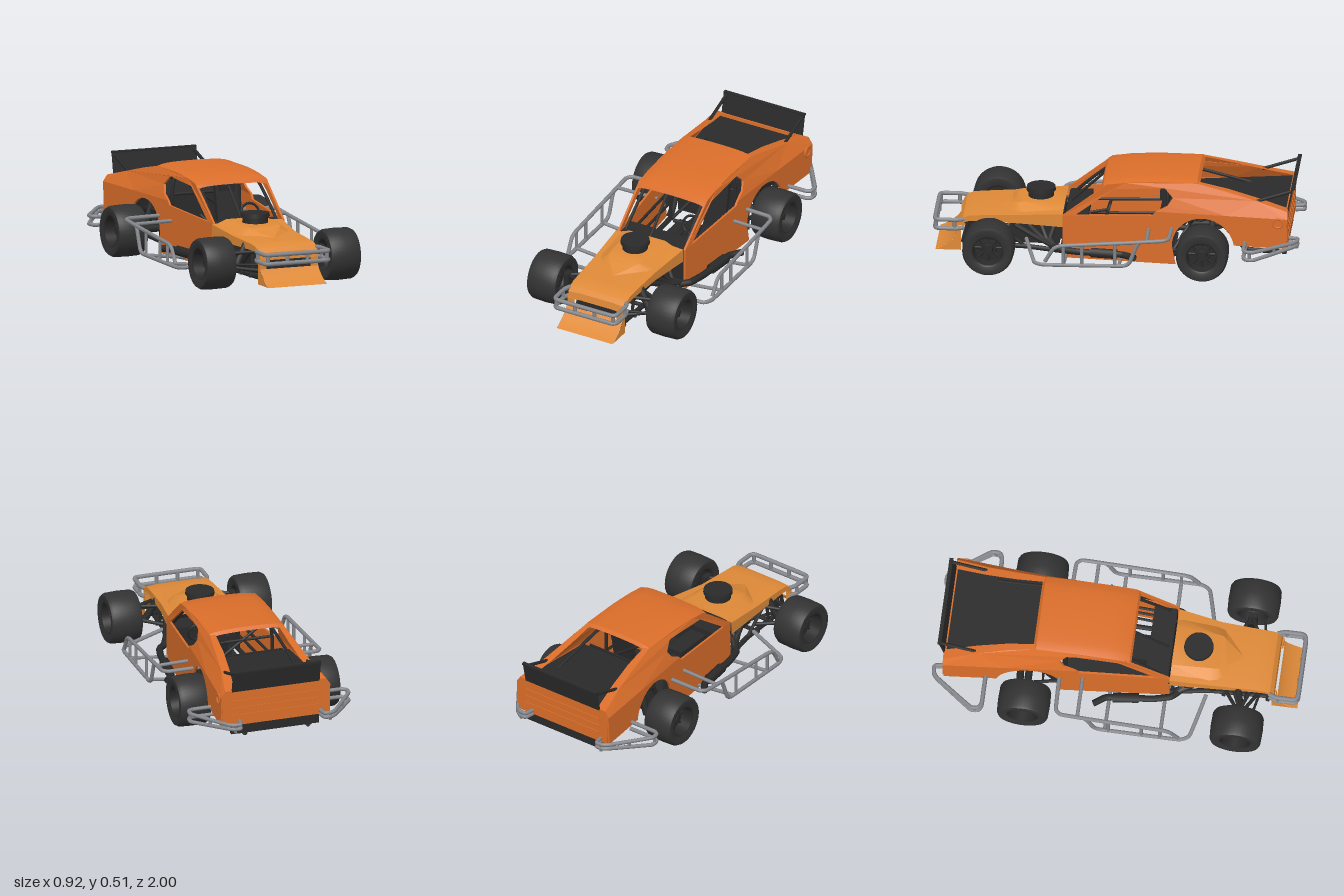
import * as THREE from 'three';
import { toCreasedNormals } from 'three/addons/utils/BufferGeometryUtils.js';

const mat = (name, color, side = THREE.FrontSide) => {
  const m = new THREE.MeshStandardMaterial({ color, side });
  m.name = name;
  return m;
};

export function createModel() {
  const model = new THREE.Group();
  model.name = 'modifiedRaceCar';
  const orange = mat('bodyOrange', 0xdb6e2a, THREE.DoubleSide);
  const amber = mat('hoodAmber', 0xdf8a38, THREE.DoubleSide);
  const black = mat('chassisBlack', 0x2a2a2a, THREE.DoubleSide);
  const rubber = mat('tyreRubber', 0x333333);
  const rimMat = mat('rimBlack', 0x2a2a2a);
  const steel = mat('bumperSteel', 0x85878c);

  // ---- helpers ----
  const add = (parent, name, geo, m) => {
    const mesh = new THREE.Mesh(geo, m);
    mesh.name = name;
    parent.add(mesh);
    return mesh;
  };
  const group = (parent, name, x = 0) => {
    const g = new THREE.Group();
    g.name = name;
    g.position.x = x;
    parent.add(g);
    return g;
  };
  const box = (p, name, m, w, h, d, x, y, z) => {
    const b = add(p, name, new THREE.BoxGeometry(w, h, d), m);
    b.position.set(x, y, z);
    return b;
  };
  const V = (p) => new THREE.Vector3(...p);
  const bar = (p, name, m, r, a, b) =>
    add(p, name, new THREE.TubeGeometry(new THREE.LineCurve3(V(a), V(b)), 1, r, 8), m);
  const tube = (p, name, m, r, pts) =>
    add(p, name, new THREE.TubeGeometry(
      new THREE.CatmullRomCurve3(pts.map(V), false, 'catmullrom', 0.15), pts.length * 10, r, 8), m);
  const outline = (pts) => new THREE.Shape(pts.map((q) => new THREE.Vector2(...q)));
  const loft = (rows) => {
    const n = rows[0].length, index = [];
    for (let i = 0; i < rows.length - 1; i++) for (let j = 0; j < n - 1; j++) {
      const a = i * n + j, b = a + n;
      index.push(a, b, a + 1, b, b + 1, a + 1);
    }
    const g = new THREE.BufferGeometry();
    g.setAttribute('position', new THREE.Float32BufferAttribute(rows.flat(2), 3));
    g.setIndex(index);
    return toCreasedNormals(g, 0.5);
  };
  const mirror = (left, name) => {
    const right = left.clone();
    right.name = name;
    right.scale.x = -1;
    left.parent.add(right);
  };

  // ---- body shell, set slightly toward the left ----
  const body = group(model, 'body', 0.025);
  const waist = (z) => 0.21 + 0.1 * (0.29 - z) / 1.2;
  const halfWidth = (z, y) =>
    THREE.MathUtils.lerp(waist(z), 0.21, THREE.MathUtils.clamp((y - 0.34) / 0.15, 0, 1));
  const panel = (p, name, shape) => {
    const g = new THREE.ExtrudeGeometry(shape, { depth: 0.012, bevelEnabled: false, curveSegments: 20 });
    const a = g.attributes.position;
    for (let i = 0; i < a.count; i++) {
      const z = a.getX(i), y = a.getY(i), t = a.getZ(i);
      a.setXYZ(i, halfWidth(z, y) - t, y, z);
    }
    g.computeVertexNormals();
    add(p, name, g, orange);
  };
  const side = group(body, 'leftBodySide');
  const lower = new THREE.Shape();
  lower.moveTo(0.29, 0.04);
  [[0.29, 0.285], [-0.2, 0.315], [-0.22, 0.34], [-0.935, 0.34], [-0.93, 0.17], [-0.645, 0.17]]
    .forEach((q) => lower.lineTo(...q));
  lower.absarc(-0.476, 0.145, 0.17, Math.PI - 0.15, 0, true);
  lower.lineTo(-0.325, 0.04);
  panel(side, 'lowerSidePanel', lower);
  const upper = [[0.29, 0.285], [0.05, 0.472], [-0.05, 0.486], [-0.2, 0.495], [-0.44, 0.493], [-0.6, 0.46],
    [-0.76, 0.42], [-0.935, 0.375], [-0.935, 0.34], [-0.6, 0.34], [-0.22, 0.34], [-0.28, 0.37], [-0.31, 0.415],
    [-0.265, 0.464], [0.01, 0.45], [0.225, 0.288]];
  panel(side, 'pillarAndSailPanel', outline(upper));
  // inward ledge along the sail top
  add(side, 'sailLedge', loft(upper.slice(4, 8).map(([z, y], i) =>
    [[halfWidth(z, y), y, z], [halfWidth(z, y) - 0.03 - 0.008 * i, y + 0.002, z]])), orange);
  mirror(side, 'rightBodySide');

  // crowned roof with front header and rear lip
  const roof = [[0.08, 0.46], [0.07, 0.478], [0.04, 0.49], [-0.05, 0.505], [-0.2, 0.514], [-0.44, 0.512],
    [-0.455, 0.495]];
  add(body, 'roof', loft(roof.map(([z, y]) => Array.from({ length: 17 }, (_, i) => {
    const s = i / 8 - 1;
    return [s * 0.211, y - 0.008 * s * s - 0.01 * s ** 8, z];
  }))), orange);

  // tail panel with pressed ribs, filler ring on the left
  const tail = add(body, 'tailPanel', new THREE.ExtrudeGeometry(
    outline([[-0.3, 0.17], [0.3, 0.17], [0.308, 0.34], [0.287, 0.375], [-0.287, 0.375], [-0.308, 0.34]]),
    { depth: 0.012, bevelEnabled: false }), orange);
  tail.position.z = -0.937;
  for (let i = 0; i < 3; i++) box(body, 'tailRib', orange, 0.5, 0.014, 0.006, 0, 0.225 + i * 0.042, -0.938);
  const ring = add(body, 'fillerRing', new THREE.TorusGeometry(0.026, 0.006, 8, 24), orange);
  ring.rotation.y = Math.PI / 2;
  ring.position.set(waist(-0.885), 0.315, -0.885);

  // rear deck and spoiler
  add(body, 'rearDeck', loft([[-0.925, 0.355, 0.285], [-0.42, 0.335, 0.25]]
    .map(([z, y, w]) => [[-w, y, z], [w, y, z]])), black);
  const blade = box(body, 'spoilerBlade', black, 0.5, 0.13, 0.008, 0, 0.432, -0.948);
  blade.rotation.x = -0.2;
  box(body, 'spoilerLip', black, 0.5, 0.01, 0.02, 0, 0.491, -0.962);
  for (const x of [-0.235, 0.235]) bar(body, 'spoilerStrut', black, 0.009, [x, 0.41, -0.76], [x, 0.475, -0.955]);

  // ---- cockpit ----
  const cockpit = group(body, 'cockpit');
  box(cockpit, 'floorPan', black, 0.27, 0.012, 0.58, -0.025, 0.05, -0.02);
  box(cockpit, 'frontFirewall', black, 0.4, 0.21, 0.01, 0, 0.165, 0.275);
  box(cockpit, 'rearFirewall', black, 0.44, 0.28, 0.01, 0, 0.195, -0.4);
  box(cockpit, 'dashboard', black, 0.4, 0.03, 0.12, 0, 0.262, 0.215);
  box(cockpit, 'seatBase', black, 0.13, 0.05, 0.16, 0.11, 0.12, -0.13);
  const back = box(cockpit, 'seatBack', black, 0.13, 0.28, 0.03, 0.11, 0.26, -0.24);
  back.rotation.x = -0.2;
  box(cockpit, 'headrest', black, 0.09, 0.06, 0.05, 0.11, 0.395, -0.26);
  const wheelRing = add(cockpit, 'steeringWheel', new THREE.TorusGeometry(0.052, 0.007, 8, 24), black);
  wheelRing.position.set(0.115, 0.29, 0.05);
  wheelRing.rotation.x = -0.3;
  bar(cockpit, 'steeringColumn', black, 0.008, [0.115, 0.29, 0.05], [0.115, 0.25, 0.24]);
  bar(cockpit, 'windscreenBar', black, 0.008, [-0.025, 0.28, 0.26], [-0.025, 0.468, 0.06]);
  tube(cockpit, 'mainHoop', black, 0.01,
    [[-0.2, 0.06, -0.28], [-0.2, 0.36, -0.28], [-0.17, 0.47, -0.28], [0.17, 0.47, -0.28], [0.2, 0.36, -0.28], [0.2, 0.06, -0.28]]);
  bar(cockpit, 'hoopDiagonal', black, 0.008, [-0.17, 0.46, -0.28], [0.19, 0.2, -0.28]);
  bar(cockpit, 'hoopCrossbar', black, 0.008, [-0.2, 0.36, -0.28], [0.2, 0.36, -0.28]);
  for (const s of [-1, 1]) {
    tube(cockpit, 'cageLeg', black, 0.009,
      [[s * 0.185, 0.06, 0.25], [s * 0.185, 0.275, 0.24], [s * 0.175, 0.45, 0.03], [s * 0.17, 0.47, -0.28]]);
    bar(cockpit, 'rearStay', black, 0.009, [s * 0.17, 0.46, -0.29], [s * 0.21, 0.34, -0.7]);
    for (const y of [0.14, 0.22]) bar(cockpit, 'doorBar', black, 0.008, [s * 0.19, y, 0.25], [s * 0.22, y, -0.28]);
  }

  // ---- hood, scoop and nose ----
  const front = group(model, 'frontClip');
  const hood = [[0.29, 0.285, 0.208, 0.075], [0.53, 0.26, 0.185, 0.05], [0.74, 0.248, 0.176, 0.035],
    [0.8, 0.243, 0.175, 0.03], [0.835, 0.23, 0.175, 0.03], [0.855, 0.205, 0.175, 0.02], [0.86, 0.165, 0.175, 0.005]];
  add(front, 'hood', loft(hood.map(([z, y, w, d], i) => {
    const c = i ? 0.002 : 0.014;
    return [[-w, y - d], [-w, y], [-w * 0.6, y + 0.006], [w * 0.6, y + 0.006], [w, y], [w, y - d]]
      .map(([x, h]) => [x + c, h, z]);
  })), amber);
  const scoop = [[0.29, 0.175, 0.11, 0.282, 0.308], [0.5, 0.165, 0.1, 0.26, 0.304], [0.55, 0.15, 0.095, 0.258, 0.297],
    [0.58, 0.12, 0.07, 0.258, 0.284], [0.67, 0.02, 0.005, 0.25, 0.258]];
  add(front, 'hoodScoop', loft(scoop.map(([z, b, t, yb, yt]) =>
    [[-b, yb, z], [-t, yt, z], [t, yt, z], [b, yb, z]])), amber);
  for (const [r, y, h] of [[0.07, 0.325, 0.05], [0.08, 0.348, 0.02]]) {
    const c = add(front, 'airCleaner', new THREE.CylinderGeometry(r * 0.97, r, h, 32), black);
    c.position.set(0, y, 0.425);
  }
  // curved valance with side plates
  const lip = [[0.872, 0.125], [0.885, 0.105], [0.92, 0.075], [0.955, 0.053], [0.985, 0.04]];
  add(front, 'frontValance', loft(lip.map(([z, y]) => [[-0.172, y, z], [0.172, y, z]])), amber);
  const cheek = outline([[0.845, 0.04], ...lip.slice().reverse(), [0.862, 0.18], [0.845, 0.18]]);
  for (const x of [-0.173, 0.173]) {
    const m = add(front, 'valanceCheek', new THREE.ShapeGeometry(cheek), amber);
    m.rotation.y = -Math.PI / 2;
    m.position.x = x;
    box(front, 'grilleSurround', amber, 0.04, 0.06, 0.006, x * 0.88, 0.145, 0.865);
  }
  box(front, 'radiator', black, 0.27, 0.13, 0.03, 0, 0.155, 0.78);

  // tubular front bumper
  const bumper = group(model, 'frontBumper');
  for (const y of [0.171, 0.221]) tube(bumper, 'bumperTube', steel, 0.012,
    [[-0.175, y, 0.83], [-0.19, y, 0.87], [-0.19, y, 0.965], [-0.165, y, 0.987], [0.165, y, 0.987], [0.19, y, 0.965], [0.19, y, 0.87], [0.175, y, 0.83]]);
  for (const x of [-0.175, -0.06, 0.06, 0.175]) bar(bumper, 'bumperPost', steel, 0.011, [x, 0.17, 0.982], [x, 0.222, 0.982]);
  for (const x of [-0.19, 0.19]) bar(bumper, 'bumperPost', steel, 0.01, [x, 0.17, 0.88], [x, 0.222, 0.88]);

  // ---- engine and frame ----
  const chassis = group(model, 'chassis');
  box(chassis, 'engineBlock', black, 0.19, 0.16, 0.3, 0, 0.17, 0.44);
  box(chassis, 'oilPan', black, 0.13, 0.05, 0.24, 0, 0.075, 0.44);
  box(chassis, 'gearbox', black, 0.1, 0.1, 0.28, 0, 0.12, 0.17);
  bar(chassis, 'driveShaft', black, 0.016, [0, 0.13, 0.05], [0, 0.14, -0.47]);
  bar(chassis, 'rearAxle', black, 0.02, [-0.32, 0.145, -0.476], [0.32, 0.145, -0.476]);
  const diff = add(chassis, 'differential', new THREE.SphereGeometry(0.05, 16, 12), black);
  diff.position.set(0, 0.145, -0.476);
  box(chassis, 'fuelCell', black, 0.3, 0.16, 0.2, 0.02, 0.19, -0.75);
  box(chassis, 'rearBumperBar', black, 0.5, 0.05, 0.025, 0.025, 0.14, -0.915);
  box(chassis, 'rearSkidBar', black, 0.36, 0.02, 0.03, 0.025, 0.09, -0.84);
  for (const [z, y] of [[0.82, 0.07], [0.7, 0.065], [0.58, 0.062], [0.3, 0.055], [-0.29, 0.05], [-0.42, 0.24], [-0.58, 0.24]])
    bar(chassis, 'crossMember', black, 0.011, [-0.16, y, z], [0.16, y, z]);

  // ---- exhausts, sharing the body offset ----
  const exhaust = group(model, 'leftExhaust', 0.027);
  for (let i = 0; i < 4; i++) tube(exhaust, 'headerPipe', black, 0.014,
    [[0.08, 0.2, 0.33 + i * 0.075], [0.13, 0.19, 0.34 + i * 0.07], [0.17, 0.13, 0.36 + i * 0.02], [0.22, 0.1, 0.32]]);
  tube(exhaust, 'exhaustPipe', black, 0.019,
    [[0.2, 0.1, 0.35], [0.245, 0.1, 0.3], [0.27, 0.1, 0.2], [0.292, 0.1, -0.04], [0.338, 0.1, -0.11]]);
  bar(exhaust, 'muffler', black, 0.028, [0.275, 0.1, 0.13], [0.29, 0.1, -0.01]);
  mirror(exhaust, 'rightExhaust');

  // ---- running gear, built on the left and mirrored ----
  const left = group(model, 'leftRunningGear');
  tube(left, 'frameRail', black, 0.014,
    [[0.13, 0.065, 0.84], [0.14, 0.06, 0.5], [0.17, 0.05, 0.28], [0.19, 0.05, -0.3], [0.19, 0.24, -0.42], [0.19, 0.24, -0.58], [0.18, 0.1, -0.7], [0.18, 0.09, -0.88]]);
  tube(left, 'upperFrameRail', black, 0.011, [[0.13, 0.07, 0.84], [0.13, 0.2, 0.8], [0.14, 0.21, 0.55], [0.18, 0.22, 0.28]]);
  for (const [a, b] of [[[0.14, 0.06, 0.5], [0.135, 0.2, 0.68]], [[0.135, 0.065, 0.7], [0.135, 0.2, 0.68]],
    [[0.19, 0.09, -0.88], [0.19, 0.33, -0.7]], [[0.19, 0.24, -0.42], [0.2, 0.34, -0.6]],
    [[0.18, 0.05, -0.29], [0.03, 0.24, -0.42]], [[0.18, 0.24, -0.58], [0.02, 0.1, -0.85]],
    [[0.13, 0.065, 0.82], [0.02, 0.065, 0.58]], [[0.16, 0.055, 0.3], [0.16, 0.21, 0.45]]])
    bar(left, 'frameBrace', black, 0.009, a, b);
  for (const [y, z0] of [[0.1, 0.77], [0.1, 0.58], [0.2, 0.74], [0.2, 0.62]])
    bar(left, 'controlArm', black, 0.01, [0.13, y, z0], [0.275, y * 0.75 + 0.04, 0.684]);
  bar(left, 'steeringLink', black, 0.007, [0.08, 0.13, 0.79], [0.275, 0.14, 0.75]);
  bar(left, 'frontShock', black, 0.02, [0.16, 0.235, 0.66], [0.235, 0.1, 0.68]);
  bar(left, 'rearShock', black, 0.02, [0.18, 0.3, -0.52], [0.23, 0.13, -0.52]);
  bar(left, 'trailingArm', black, 0.01, [0.19, 0.08, -0.28], [0.24, 0.11, -0.47]);
  box(left, 'frontUpright', black, 0.03, 0.12, 0.05, 0.27, 0.145, 0.684);

  // wheels: rounded slick with a deep dished rim
  const profile = (pts) => new THREE.LatheGeometry(pts.map((q) => new THREE.Vector2(...q)), 40).rotateZ(-Math.PI / 2);
  const tyre = toCreasedNormals(profile([[0.085, -0.08], [0.11, -0.088], [0.13, -0.086], [0.139, -0.07], [0.142, 0],
    [0.139, 0.07], [0.13, 0.086], [0.11, 0.088], [0.085, 0.08]]), 0.7);
  const rim = toCreasedNormals(profile([[0, -0.03], [0.07, -0.03], [0.08, -0.078], [0.087, -0.082], [0.087, 0.082],
    [0.08, 0.078], [0.076, 0.01], [0.045, 0.01], [0.04, 0.022], [0.028, 0.022], [0.022, 0.045], [0, 0.045]]), 0.5);
  for (const [name, z] of [['frontWheel', 0.68], ['rearWheel', -0.48]]) {
    const w = group(left, name);
    w.position.set(0.369, 0.145, z);
    add(w, 'tyre', tyre, rubber);
    add(w, 'rim', rim, rimMat);
    for (let i = 0; i < 8; i++) {
      const c = Math.cos(i * Math.PI / 4), s = Math.sin(i * Math.PI / 4);
      bar(w, 'rimSpoke', rimMat, 0.007, [0.016, c * 0.03, s * 0.03], [0.014, c * 0.077, s * 0.077]);
    }
  }

  // side guard rails
  const guard = group(left, 'sideGuard');
  tube(guard, 'guardUpperTube', steel, 0.011,
    [[0.24, 0.245, -0.305], [0.42, 0.243, -0.3], [0.448, 0.24, -0.27], [0.45, 0.225, -0.1], [0.45, 0.195, 0.28], [0.45, 0.175, 0.325], [0.448, 0.1, 0.37]]);
  tube(guard, 'guardLowerTube', steel, 0.011,
    [[0.45, 0.228, -0.14], [0.45, 0.2, -0.125], [0.45, 0.11, -0.09], [0.45, 0.088, -0.05], [0.45, 0.082, 0.37], [0.42, 0.085, 0.43], [0.19, 0.125, 0.49]]);
  for (const [z, y] of [[0.27, 0.196], [0.17, 0.204], [-0.01, 0.217]])
    bar(guard, 'guardPost', steel, 0.009, [0.45, 0.085, z], [0.45, y, z]);
  for (const [z, y, y0] of [[0.27, 0.085, 0.06], [-0.03, 0.085, 0.055], [-0.18, 0.23, 0.235]])
    bar(guard, 'guardCrossbar', steel, 0.01, [0.2, y0, z], [0.45, y, z]);

  // rear corner bumpers
  const corner = group(left, 'rearCornerBumper');
  for (const [a, b] of [[0.145, 0.168], [0.19, 0.192]]) tube(corner, 'cornerTube', steel, 0.011,
    [[0.26, a, -0.705], [0.42, a, -0.705], [0.448, a, -0.72], [0.448, a, -0.765], [0.31, b, -0.96], [0.28, b, -0.984], [0.24, b, -0.985], [0.23, b, -0.935]]);
  for (const [x, z] of [[0.448, -0.74], [0.375, -0.868], [0.27, -0.984]])
    bar(corner, 'cornerPost', steel, 0.009, [x, 0.15, z], [x, 0.19, z]);
  mirror(left, 'rightRunningGear');

  return model;
}
